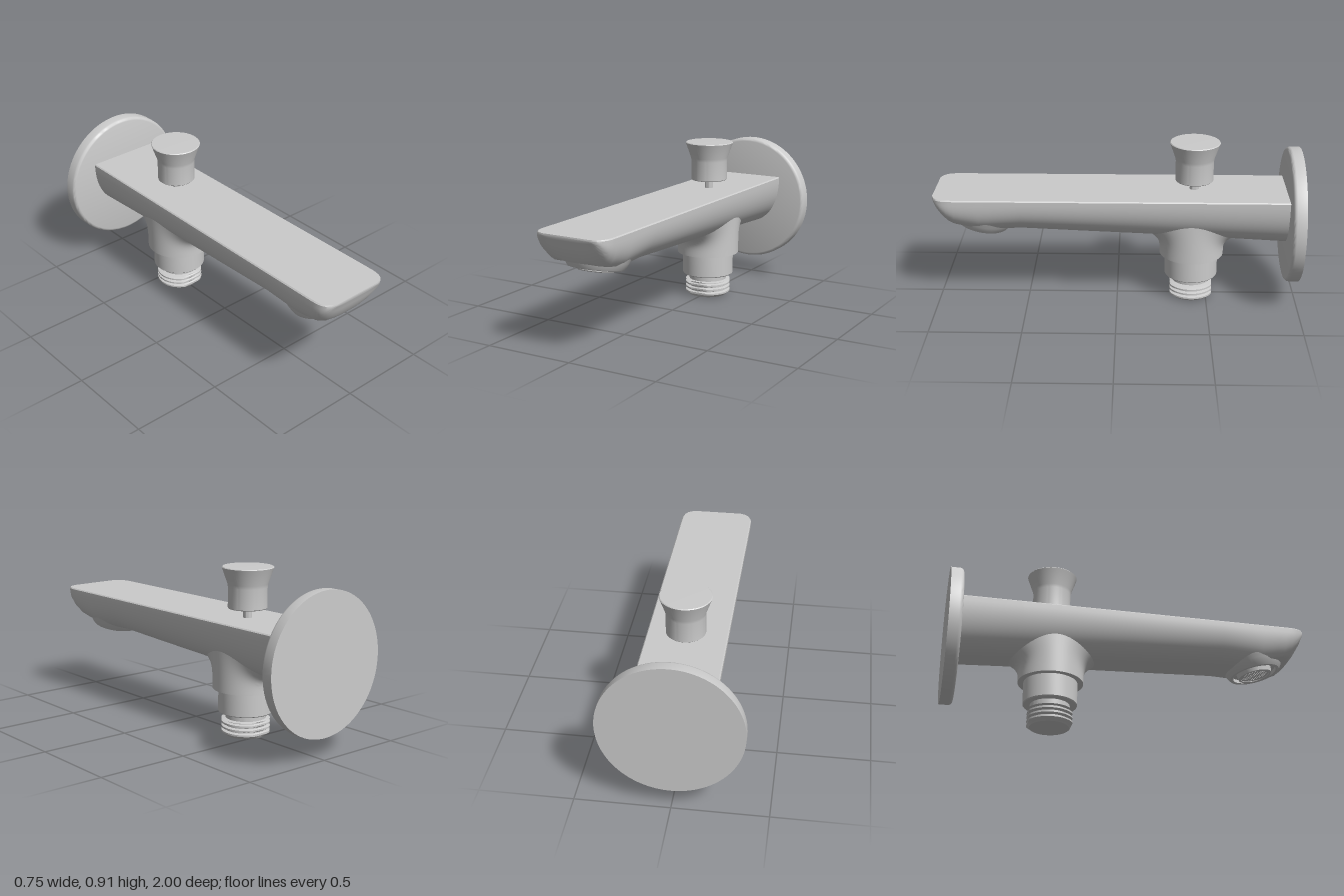
import * as THREE from 'three';
import { toCreasedNormals } from 'three/addons/utils/BufferGeometryUtils.js';

const material = new THREE.MeshStandardMaterial({ color: 0xcccccc });
const TOP = 0.637;
const BRANCH_Z = -0.415;
const TILT = 0.225; // slope of the outlet plane
const OUTLET = { y: 0.422, z: 0.755 };

function part(name, geometry, crease = 0.6) {
  const mesh = new THREE.Mesh(toCreasedNormals(geometry, crease), material);
  mesh.name = name;
  return mesh;
}

function lathe(points, segments = 64) {
  return new THREE.LatheGeometry(points.map(([r, y]) => new THREE.Vector2(r, y)), segments);
}

// Skin closed rings of [x, y, z], counter-clockwise about the direction of travel
function loft(rings, capped) {
  const n = rings[0].length;
  const positions = rings.flat(2);
  const index = [];
  for (let k = 0; k < rings.length - 1; k++) {
    for (let i = 0; i < n; i++) {
      const a = k * n + i, b = k * n + ((i + 1) % n);
      index.push(a, b, a + n, b, b + n, a + n);
    }
  }
  if (capped) {
    const last = (rings.length - 1) * n;
    for (let i = 1; i < n - 1; i++) {
      index.push(0, i + 1, i, last, last + i, last + i + 1);
    }
  }
  const geometry = new THREE.BufferGeometry();
  geometry.setAttribute('position', new THREE.Float32BufferAttribute(positions, 3));
  geometry.setIndex(index);
  return geometry;
}

// Spout stations: z, half width, underside height, section exponent
const stations = [
  [-0.95, 0.213, 0.342, 2.2], [-0.6, 0.213, 0.362, 2.2], [-0.2, 0.213, 0.384, 2.2],
  [0.2, 0.213, 0.403, 2.25], [0.52, 0.213, 0.42, 2.3], [0.62, 0.213, 0.418, 2.4],
  [0.75, 0.213, 0.412, 2.5], [0.88, 0.213, 0.442, 2.6], [0.92, 0.212, 0.472, 2.7],
  [0.95, 0.206, 0.512, 2.9], [0.975, 0.192, 0.558, 3.1], [0.99, 0.173, 0.597, 3.4],
  [1.0, 0.145, 0.622, 3.6],
];

function stationAt(z) {
  let k = 0;
  while (k < stations.length - 2 && stations[k + 1][0] < z) k++;
  const a = stations[k], b = stations[k + 1];
  const t = (z - a[0]) / (b[0] - a[0]);
  return a.map((v, i) => v + (b[i] - v) * t);
}

// Height of the spout's underside at a point in plan
function underside(x, z) {
  const [, w, bottom, n] = stationAt(z);
  return TOP - (TOP - bottom) * Math.pow(1 - Math.pow(Math.min(1, Math.abs(x) / w), n), 1 / n);
}

function spoutRing(z) {
  const [, w, bottom, n] = stationAt(z);
  const ring = [];
  const steps = 40, bevel = 0.006;
  for (let i = 0; i <= steps; i++) {
    const a = Math.PI * (1 - i / steps);
    const c = Math.cos(a), s = Math.sin(a);
    const x = w * Math.sign(c) * Math.pow(Math.abs(c), 2 / n);
    let y = TOP - bevel - (TOP - bevel - bottom) * Math.pow(Math.max(0, s), 2 / n);
    // leave room for the outlet recess
    if (z > 0.6 && z < 0.93) y = Math.max(y, OUTLET.y + (z - OUTLET.z) * TILT + 0.03);
    ring.push([x, y, z]);
  }
  ring.push([w - bevel, TOP, z], [-w + bevel, TOP, z]);
  return ring;
}

function spout() {
  const zs = stations.map((s) => s[0]);
  zs.push(0, 0.4, 0.57, 0.66, 0.7, 0.8, 0.84, 0.9, 0.935, 0.963, 0.983, 0.996);
  zs.sort((a, b) => a - b);
  return part('spout', loft(zs.map(spoutRing), true));
}

// Vertical branch that flares fore and aft into the spout
function branch() {
  const rings = [];
  for (let k = 0; k <= 14; k++) {
    const s = k / 14;
    const ring = [];
    for (let i = 0; i < 64; i++) {
      const a = (i / 64) * Math.PI * 2;
      const x = 0.178 * Math.cos(a);
      const z = BRANCH_Z - (0.178 + 0.075 * s ** 4) * Math.sin(a);
      ring.push([x, 0.257 + (underside(x, z) + 0.008 - 0.257) * s, z]);
    }
    rings.push(ring);
  }
  return part('branch', loft(rings, true));
}

// Threaded connector with two shallow flats on the thread
function thread() {
  const points = [[0, 0], [0.107, 0], [0.127, 0.016]];
  for (let i = 0; i < 3; i++) {
    const y = 0.018 + i * 0.025;
    points.push([0.13, y], [0.13, y + 0.009], [0.112, y + 0.014], [0.112, y + 0.019]);
  }
  points.push([0.13, 0.091], [0.108, 0.095], [0.108, 0.135]);
  const geometry = lathe(points);
  const p = geometry.attributes.position;
  for (let i = 0; i < p.count; i++) {
    p.setZ(i, THREE.MathUtils.clamp(p.getZ(i), -0.117, 0.117));
  }
  return part('threadedConnector', geometry, 0.4);
}

// Outlet rim, aerator ring and perforated screen, tilted together
function outlet() {
  const group = new THREE.Group();
  group.name = 'outlet';
  group.add(part('outletRim', lathe([
    [0, 0.024], [0.124, 0.024], [0.124, 0.004], [0.132, 0], [0.142, 0.003],
    [0.153, 0.018], [0.166, 0.042], [0.185, 0.09],
  ])));
  group.add(part('aeratorRing', lathe([
    [0.08, 0.01], [0.082, -0.008], [0.088, -0.012], [0.095, -0.008], [0.1, 0.025],
  ])));
  const disc = new THREE.Shape().absarc(0, 0, 0.084, 0, Math.PI * 2);
  const pitch = 0.017;
  for (let row = -4; row <= 4; row++) {
    for (let col = -5; col <= 5; col++) {
      const x = (col + (row % 2 ? 0.5 : 0)) * pitch, y = row * pitch * 0.87;
      if (Math.hypot(x, y) > 0.072) continue;
      disc.holes.push(new THREE.Path().absarc(x, y, 0.005, 0, Math.PI * 2, true));
    }
  }
  const screen = new THREE.ExtrudeGeometry(disc, { depth: 0.008, bevelEnabled: false, curveSegments: 8 });
  screen.rotateX(Math.PI / 2);
  screen.translate(0, 0.004, 0);
  group.add(part('aeratorScreen', screen));
  group.position.set(0, OUTLET.y, OUTLET.z);
  group.rotation.x = -Math.atan(TILT);
  return group;
}

export function createModel() {
  const model = new THREE.Group();
  model.add(spout(), branch(), outlet());

  // Round wall plate with a softened front edge
  const plate = lathe([
    [0, 0], [0.373, 0], [0.373, 0.052], [0.37, 0.062], [0.363, 0.069], [0.355, 0.071], [0, 0.071],
  ], 96);
  plate.rotateX(Math.PI / 2);
  plate.translate(0, 0.488, -1);
  model.add(part('wallPlate', plate));

  // Parts stacked on the branch axis
  const collar = part('collar', lathe([
    [0, 0.127], [0.142, 0.127], [0.147, 0.132], [0.147, 0.262],
  ]));
  const stem = part('knobStem', lathe([[0.024, 0.6], [0.024, 0.7]], 32));
  const knob = part('diverterKnob', lathe([
    [0, 0.687], [0.1, 0.687], [0.104, 0.691], [0.104, 0.8], [0.107, 0.818],
    [0.134, 0.895], [0.137, 0.904], [0.133, 0.908], [0, 0.91],
  ]));
  const axis = new THREE.Group();
  axis.name = 'branchFittings';
  axis.position.z = BRANCH_Z;
  stem.position.z = knob.position.z = -0.007;
  axis.add(collar, thread(), stem, knob);
  model.add(axis);
  return model;
}
